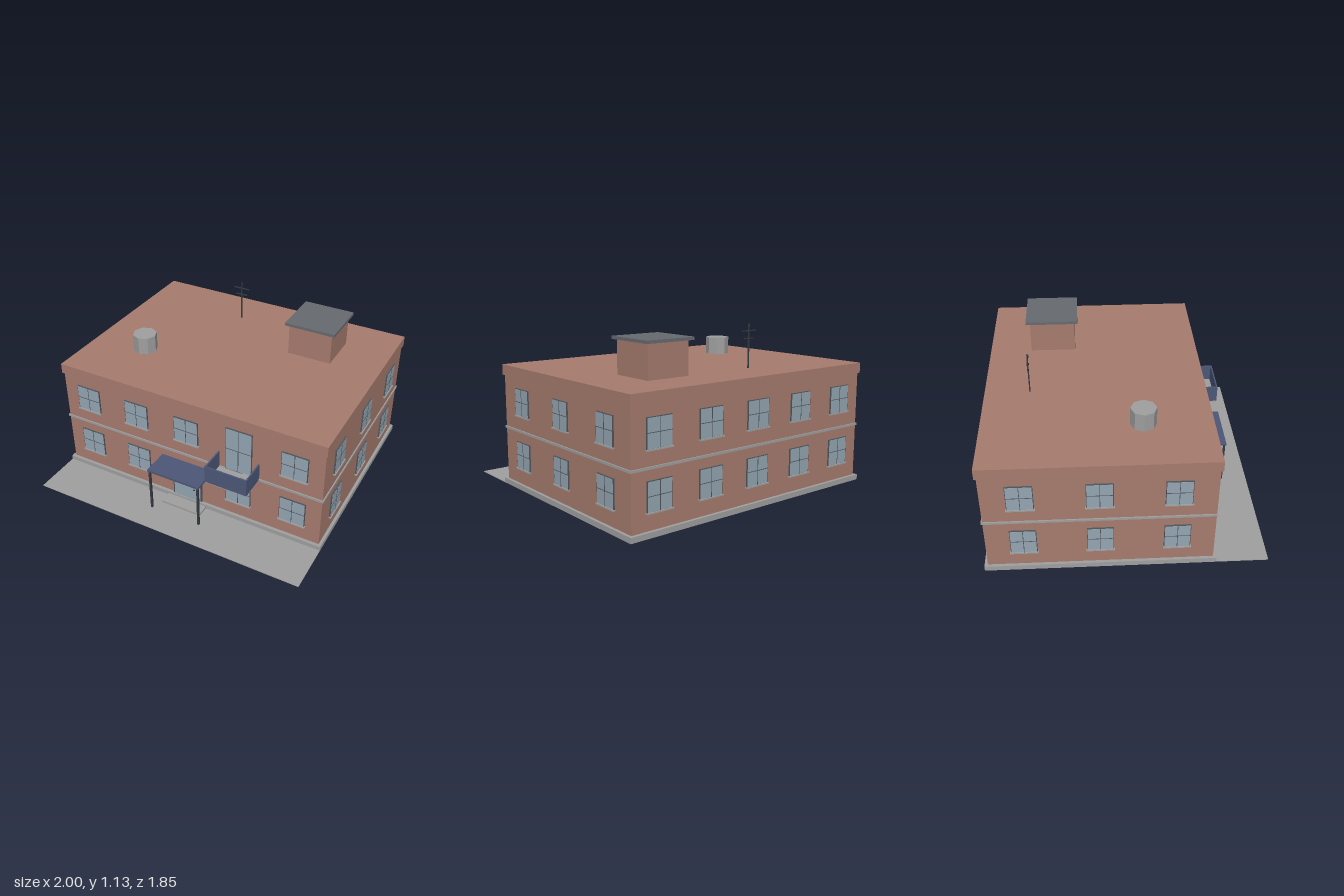
import * as THREE from 'three';

const mat = (name, color) => {
  const m = new THREE.MeshStandardMaterial({ color });
  m.name = name;
  return m;
};

export function createModel() {
  const brick = mat('brick', 0xa67b6e);
  const concrete = mat('concrete', 0x9f9f9f);
  const glass = mat('glass', 0x93a5b2);
  const slate = mat('slate', 0x666a70);
  const frame = mat('frame', 0x50565c);
  const blue = mat('bluePaint', 0x4c5777);
  const iron = mat('iron', 0x343a42);

  const model = new THREE.Group();
  model.name = 'building';

  // Box given by its min and max along each axis
  const box = (name, m, x0, x1, y0, y1, z0, z1, parent = model) => {
    const mesh = new THREE.Mesh(new THREE.BoxGeometry(x1 - x0, y1 - y0, z1 - z0), m);
    mesh.position.set((x0 + x1) / 2, (y0 + y1) / 2, (z0 + z1) / 2);
    mesh.name = name;
    parent.add(mesh);
    return mesh;
  };

  // Main body, stacked from the ground up
  box('plinth', concrete, -1, 1, 0, 0.036, -0.925, 0.582);
  box('walls', brick, -0.98, 0.98, 0.036, 0.77, -0.903, 0.56);
  box('stringCourse', concrete, -0.988, 0.988, 0.398, 0.414, -0.911, 0.568);
  box('cornice', brick, -0.99, 0.99, 0.77, 0.842, -0.915, 0.573);
  box('pavement', concrete, -1, 1, 0, 0.005, 0.582, 0.925);

  // Window facing +z at its own origin, y measured from its bottom
  const addWindow = (name, x, y, z, turn, w, h, sill = true) => {
    const g = new THREE.Group();
    g.name = name;
    g.position.set(x, y, z);
    g.rotation.y = turn;
    box('windowFrame', frame, -w / 2, w / 2, 0, h, -0.005, 0.009, g);
    box('windowPane', glass, -w / 2 + 0.004, w / 2 - 0.004, 0.004, h - 0.004, 0.008, 0.0105, g);
    box('mullion', frame, -0.002, 0.002, 0, h, 0.008, 0.012, g);
    box('transom', frame, -w / 2, w / 2, h * 0.52 - 0.002, h * 0.52 + 0.002, 0.008, 0.012, g);
    if (sill) box('windowSill', concrete, -w / 2 - 0.006, w / 2 + 0.006, -0.006, 0.003, -0.005, 0.017, g);
    model.add(g);
  };

  for (const y of [0.145, 0.512]) {
    for (let i = -2; i <= 2; i++) {
      const x = i * 0.391;
      addWindow('backWindow', x, y, -0.903, Math.PI, 0.182, 0.187);
      const isDoor = i === 0 && y < 0.3;
      const isBalcony = i === 1 && y > 0.3;
      if (!isDoor && !isBalcony) addWindow('frontWindow', x, y, 0.56, 0, 0.182, 0.187);
    }
    for (const z of [0.317, -0.172, -0.66]) {
      addWindow('leftWindow', 0.98, y, z, Math.PI / 2, 0.17, 0.187);
      addWindow('rightWindow', -0.98, y, z, -Math.PI / 2, 0.17, 0.187);
    }
  }

  // Balcony with its glazed door
  addWindow('balconyDoor', 0.391, 0.414, 0.56, 0, 0.192, 0.331, false);
  box('balconyFloor', concrete, 0.242, 0.538, 0.4, 0.412, 0.56, 0.742);
  box('balconyFront', blue, 0.24, 0.54, 0.408, 0.531, 0.735, 0.745);
  for (const x of [0.24, 0.53]) box('balconySide', blue, x, x + 0.01, 0.408, 0.531, 0.56, 0.735);
  box('balconyCrate', concrete, 0.442, 0.502, 0.412, 0.45, 0.598, 0.642);

  // Entrance: door, step, canopy and posts
  box('doorFrame', frame, -0.113, 0.113, 0.036, 0.308, 0.555, 0.57);
  box('doorPane', glass, -0.102, 0.102, 0.036, 0.298, 0.569, 0.574);
  box('doorHandle', iron, 0.05, 0.062, 0.123, 0.13, 0.573, 0.58);
  box('doorStep', concrete, -0.15, 0.15, 0.005, 0.02, 0.582, 0.67);
  box('canopy', blue, -0.198, 0.196, 0.325, 0.34, 0.56, 0.755);
  for (const x of [-0.186, 0.184]) box('canopyPost', iron, x - 0.007, x + 0.007, 0, 0.325, 0.735, 0.749);

  // Roof hut
  box('roofHutWalls', brick, 0.33, 0.645, 0.842, 1.066, -0.622, -0.307);
  box('roofHutRoof', slate, 0.305, 0.67, 1.066, 1.086, -0.65, -0.285);

  // Eight-sided water tank
  const tankShape = new THREE.CylinderGeometry(0.085, 0.085, 0.124, 8).toNonIndexed();
  tankShape.computeVertexNormals();
  const tank = new THREE.Mesh(tankShape, concrete);
  tank.position.set(-0.588, 0.904, 0.12);
  tank.name = 'waterTank';
  model.add(tank);

  // Aerial
  box('aerialPole', iron, -0.201, -0.193, 0.842, 1.135, -0.616, -0.608);
  box('aerialUpperBar', iron, -0.26, -0.136, 1.086, 1.093, -0.616, -0.608);
  box('aerialLowerBar', iron, -0.24, -0.154, 1.036, 1.043, -0.616, -0.608);

  return model;
}
